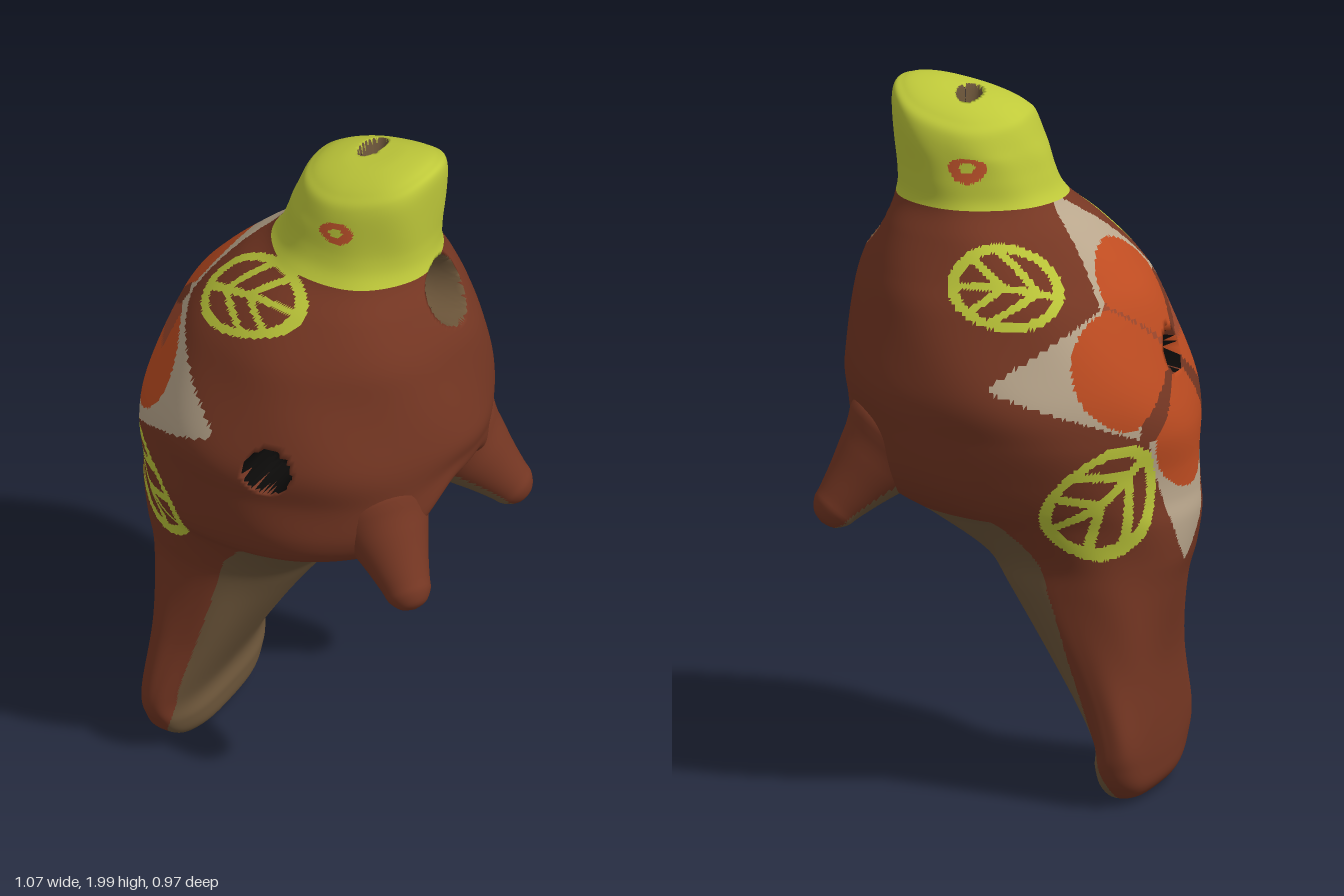
import * as THREE from 'three';

const mat = (name, color) => {
  const m = new THREE.MeshStandardMaterial({ color });
  m.name = name;
  return m;
};
const CLAY = 0, LIME = 1, ORANGE = 2, CREAM = 3, TAN = 4, BLACK = 5, FADED = 6, EYE = 7;
const smooth = THREE.MathUtils.smoothstep;
const { hypot, abs, cos, sin, sign, pow, PI } = Math;

// Body sections from tail tip to crown: y, centre x, centre z, half depth, half width
const sections = [
  [0.005, -0.37, 0.045, 0.001, 0.001],
  [0.015, -0.37, 0.045, 0.045, 0.15],
  [0.05, -0.37, 0.05, 0.075, 0.22],
  [0.11, -0.37, 0.055, 0.085, 0.265],
  [0.2, -0.37, 0.057, 0.09, 0.285],
  [0.4, -0.315, 0.036, 0.15, 0.27],
  [0.6, -0.262, 0.018, 0.235, 0.265],
  [0.7, -0.233, 0.02, 0.29, 0.28],
  [0.8, -0.157, 0.018, 0.38, 0.33],
  [0.87, -0.085, 0.02, 0.445, 0.39],
  [0.95, -0.055, 0.015, 0.475, 0.425],
  [1.07, -0.055, 0.005, 0.485, 0.448],
  [1.2, -0.037, 0.003, 0.475, 0.46],
  [1.4, -0.013, -0.002, 0.425, 0.395],
  [1.5, 0.01, 0, 0.378, 0.35],
  [1.6, 0.036, -0.01, 0.305, 0.288],
  [1.68, 0.06, -0.027, 0.238, 0.225],
  [1.76, 0.073, -0.042, 0.214, 0.203],
  [1.92, 0.098, -0.05, 0.198, 0.19],
  [1.96, 0.1, -0.05, 0.165, 0.155],
  [1.978, 0.1, -0.05, 0.09, 0.09],
  [1.98, 0.1, -0.05, 0.001, 0.001],
];
// The tail and head are squarer than the round belly
const squareness = y => 2 + 0.6 * (1 - smooth(y, 0.35, 0.85)) + 0.25 * smooth(y, 1.68, 1.9);

// Finger holes, windway and crown hole: centre, radii, inward push, where the floor is dark
const pits = [
  { c: [0.046, 1.19, 0.455], r: [0.066, 0.066, 0.15], push: [0, 0, -0.13], wall: BLACK, dark: () => true },
  { c: [-0.48, 1.27, -0.02], r: [0.15, 0.055, 0.046], push: [0.13, 0, 0], wall: BLACK, dark: () => true },
  { c: [0.33, 1.6, -0.045], r: [0.15, 0.092, 0.095], push: [-0.15, -0.03, 0], wall: TAN, dark: p => p.y < 1.63 },
  { c: [0.075, 1.975, -0.085], r: [0.034, 0.1, 0.06], push: [0, -0.1, 0], wall: TAN, dark: p => p.z > -0.075 },
];
const pitDistance = (p, k) =>
  hypot((p.x - k.c[0]) / k.r[0], (p.y - k.c[1]) / k.r[1], (p.z - k.c[2]) / k.r[2]);

// Flower and leaves painted around the rear hole, in polar coordinates on the belly
const bellyCentre = new THREE.Vector3(-0.03, 1.2, 0);
const flowerAxis = new THREE.Vector3(-0.47, 0.07, -0.02).normalize();
const petals = [
  { turn: 5, mid: 0.22, long: 0.18, wide: 0.17, tip: 0.65, base: 0.23 },
  { turn: 98, mid: 0.2, long: 0.18, wide: 0.18, tip: 0.55, base: 0.22 },
  { turn: 177, mid: 0.22, long: 0.18, wide: 0.175, tip: 0.64, base: 0.2 },
  { turn: -90, mid: 0.19, long: 0.14, wide: 0.155, tip: 0.45, base: 0.18 },
];
const leaves = [
  { turn: 57, mid: 0.58, long: 0.2, wide: 0.16 },
  { turn: 140, mid: 0.59, long: 0.17, wide: 0.165 },
  { turn: -128, mid: 0.45, long: 0.165, wide: 0.145 },
  { turn: -48, mid: 0.455, long: 0.155, wide: 0.13 },
];

function paintFlower(p) {
  const d = p.clone().sub(bellyCentre).normalize();
  const dot = d.dot(flowerAxis);
  const rho = Math.acos(THREE.MathUtils.clamp(dot, -1, 1)) * 0.47;
  if (rho > 0.85) return CLAY;
  const phi = Math.atan2(d.y - flowerAxis.y * dot, d.z - flowerAxis.z * dot);
  const local = turn => {
    const a = phi - turn * PI / 180;
    return [rho * cos(a), rho * sin(a)];
  };
  let pale = false;
  for (const f of petals) {
    const [along, side] = local(f.turn), across = abs(side);
    const inside = hypot((along - f.mid) / f.long, across / f.wide) < 1;
    if (inside && across < along * 0.85 - 0.01) {
      // the petal at the right is worn along its upper inner edge
      return f === petals[0] && side > 0.02 && along < 0.25 ? FADED : ORANGE;
    }
    // pointed pale tip
    if (along > 0.2 && along < f.tip && across < f.base * pow((f.tip - along) / (f.tip - 0.2), 0.7)) pale = true;
  }
  // worn paint joins the upper and left petals
  if (rho < 0.3 && phi > 2 && phi < 2.85) return FADED;
  if (pale) return CREAM;
  for (const f of leaves) {
    const [along, y] = local(f.turn), x = along - f.mid;
    const e = hypot(x / f.long, y / f.wide);
    if (e > 1) continue;
    // outline, midrib and slanted veins
    if (e > 0.8 || abs(y) < 0.014) return LIME;
    const vein = x - abs(y) * 0.8;
    if (abs(vein + 0.09) < 0.017 || abs(vein - 0.01) < 0.017) return LIME;
  }
  return CLAY;
}

function paintBody(p, centreX) {
  for (const k of pits) {
    const d = pitDistance(p, k);
    if (d < 1) return d < 0.84 && k.dark(p) ? BLACK : k.wall;
  }
  if (p.y > 1.68) {
    const e = p.z > 0 ? hypot(p.x - 0.09, p.y - 1.85) : hypot(p.x - 0.03, p.y - 1.805);
    return e > 0.022 && e < 0.052 ? EYE : LIME;
  }
  if (p.y < 0.83 && p.x > centreX + 0.055 * smooth(p.y, 0, 0.2)) return TAN;
  return paintFlower(p);
}

// Reorders faces so that each colour forms one material group
function groupFaces(geometry, faces) {
  const index = [];
  faces.forEach((list, m) => {
    if (!list.length) return;
    geometry.addGroup(index.length, list.length, m);
    for (const i of list) index.push(i);
  });
  geometry.setIndex(index);
  return geometry;
}

function bodyGeometry() {
  const curve = pick => new THREE.CatmullRomCurve3(sections.map(pick), false, 'catmullrom', 0.5);
  const path = curve(s => new THREE.Vector3(s[1], s[0], s[2]));
  const size = curve(s => new THREE.Vector3(s[3], 0, s[4]));
  const rows = (sections.length - 1) * 12, cols = 270;
  const base = [], centres = [], positions = [];
  for (let i = 0; i <= rows; i++) {
    const c = path.getPoint(i / rows), s = size.getPoint(i / rows);
    const q = 2 / squareness(c.y);
    for (let j = 0; j < cols; j++) {
      const a = j / cols * 2 * PI;
      const lump = 1 + 0.008 * sin(3 * a + 7 * c.y) + 0.006 * sin(7 * a - 15 * c.y);
      const p = new THREE.Vector3(
        c.x + s.x * lump * sign(cos(a)) * pow(abs(cos(a)), q), c.y,
        c.z + s.z * lump * sign(sin(a)) * pow(abs(sin(a)), q));
      base.push(p);
      centres.push(c.x);
      const v = p.clone();
      // press the holes inward
      for (const k of pits) {
        const push = smooth(1 - pitDistance(p, k), 0, 0.2);
        v.x += k.push[0] * push; v.y += k.push[1] * push; v.z += k.push[2] * push;
      }
      // crown rises toward the beak and falls to the cheeks
      v.y += (0.2 * (p.x - 0.1) - 1.3 * (p.z + 0.04) ** 2) * smooth(p.y, 1.78, 1.93);
      // arch between the feet
      v.y += 0.16 * smooth(p.x, 0.12, 0.36) * (1 - smooth(abs(p.z), 0.05, 0.27)) * (1 - smooth(p.y, 0.82, 1.25));
      positions.push(v.x, v.y, v.z);
    }
  }
  const faces = Array.from({ length: 8 }, () => []);
  const mid = new THREE.Vector3();
  const face = (a, b, c) => {
    mid.copy(base[a]).add(base[b]).add(base[c]).divideScalar(3);
    faces[paintBody(mid, centres[a])].push(a, b, c);
  };
  for (let i = 0; i < rows; i++) {
    for (let j = 0; j < cols; j++) {
      const n = (j + 1) % cols, a = i * cols + j, b = i * cols + n;
      face(a, a + cols, b);
      face(b, a + cols, b + cols);
    }
  }
  const g = new THREE.BufferGeometry();
  g.setAttribute('position', new THREE.Float32BufferAttribute(positions, 3));
  groupFaces(g, faces);
  g.computeVertexNormals();
  return g;
}

// Tapered, round-tipped foot rooted in the belly; its inner underside is bare clay
function footGeometry(side) {
  const profile = [[0, -0.065], [0.035, -0.055], [0.06, -0.025], [0.069, 0.01], [0.09, 0.08], [0.125, 0.18], [0.15, 0.27], [0, 0.33]]
    .map(([r, y]) => new THREE.Vector2(r, y));
  const g = new THREE.LatheGeometry(new THREE.SplineCurve(profile).getPoints(28), 48);
  const tip = new THREE.Vector3(0.39, 0.825, 0.28 * side);
  const root = new THREE.Vector3(0.22, 1.045, 0.18 * side);
  g.applyQuaternion(new THREE.Quaternion().setFromUnitVectors(
    new THREE.Vector3(0, 1, 0), root.sub(tip).normalize()));
  g.translate(tip.x, tip.y, tip.z);
  const n = g.attributes.normal, idx = g.index.array;
  const faces = Array.from({ length: 8 }, () => []);
  for (let i = 0; i < idx.length; i += 3) {
    const k = idx[i];
    const inner = -n.getX(k) * 0.6 - n.getY(k) * 0.6 - n.getZ(k) * side * 0.5;
    faces[inner > 0.42 ? TAN : CLAY].push(idx[i], idx[i + 1], idx[i + 2]);
  }
  return groupFaces(g, faces);
}

export function createModel() {
  const materials = [
    mat('red clay', 0x763723), mat('lime paint', 0xbfc93a), mat('orange paint', 0xbe4c21),
    mat('cream paint', 0xb9a68c), mat('bare clay', 0x6e573b), mat('hole black', 0x0b0a09),
    mat('faded orange', 0x9c472c), mat('eye orange', 0xc4552c),
  ];
  const bird = new THREE.Group();
  bird.name = 'birdWhistle';
  const add = (name, geometry) => {
    const m = new THREE.Mesh(geometry, materials);
    m.name = name;
    bird.add(m);
  };
  add('birdBody', bodyGeometry());
  add('leftFoot', footGeometry(-1));
  add('rightFoot', footGeometry(1));
  // the bird looks along +x, turned a little to the front
  bird.rotation.y = -0.436;
  const model = new THREE.Group();
  model.name = 'model';
  model.add(bird);
  return model;
}
